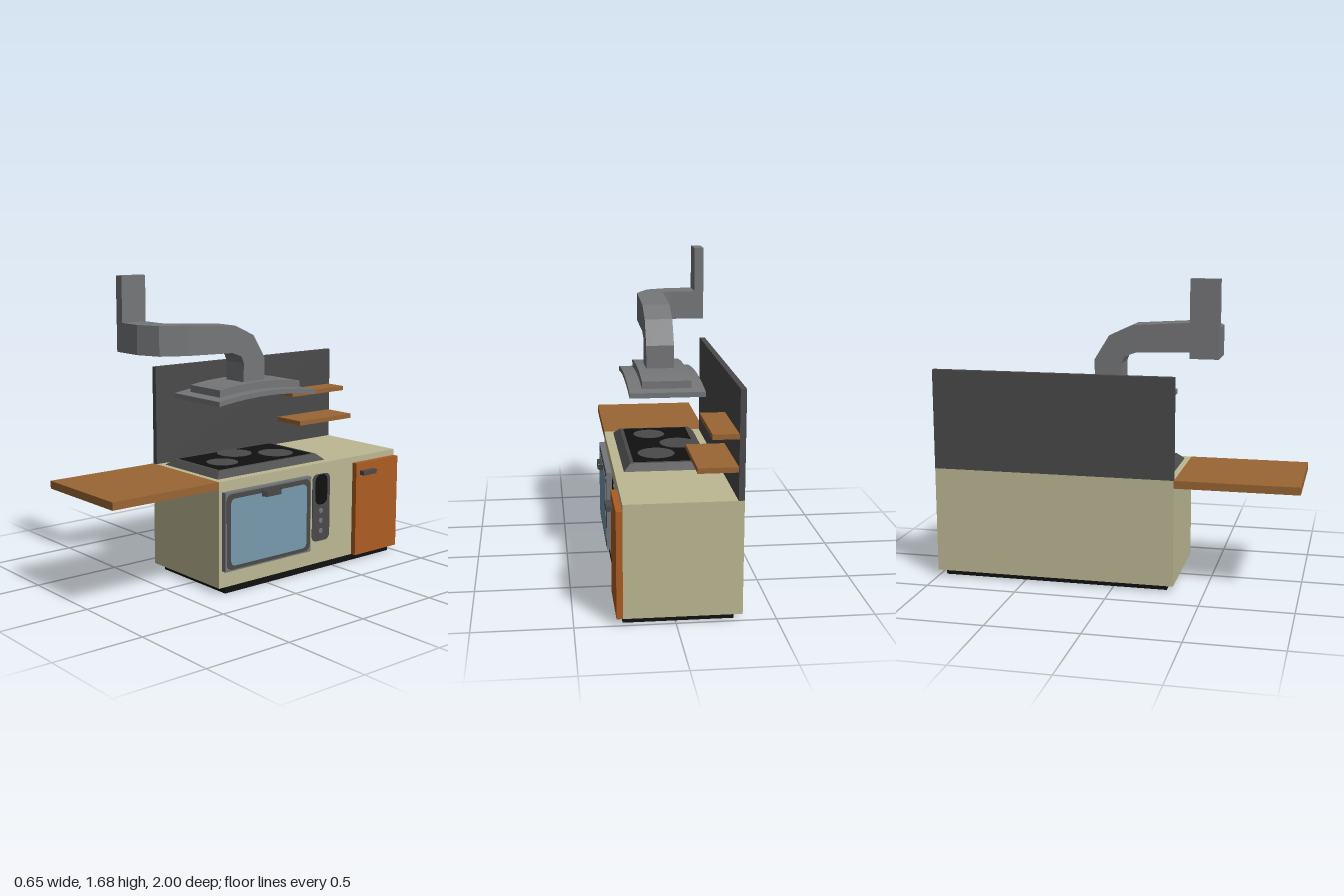
import * as THREE from 'three';

export function createModel() {
  const root = new THREE.Group();
  const mat = (name, color, extra = {}) => {
    const m = new THREE.MeshStandardMaterial({ color, ...extra });
    m.name = name;
    return m;
  };
  const cream = mat('cream', 0xbdb994);
  const wood = mat('wood', 0x9a6534);
  const orange = mat('orange', 0xad5c22);
  const grey = mat('grey', 0x757678);
  const dark = mat('darkGrey', 0x4a4a4b);
  const black = mat('black', 0x101010);
  const glass = mat('glassBlue', 0x789aae);
  dark.side = THREE.DoubleSide;

  const add = (name, geo, material, parent = root) => {
    const m = new THREE.Mesh(geo, material);
    m.name = name;
    parent.add(m);
    return m;
  };
  // Box from its lower and upper limits
  const box = (name, material, x0, x1, y0, y1, z0, z1) => {
    const m = add(name, new THREE.BoxGeometry(x1 - x0, y1 - y0, z1 - z0), material);
    m.position.set((x0 + x1) / 2, (y0 + y1) / 2, (z0 + z1) / 2);
    return m;
  };
  // Shape drawn in (-z, y) and extruded towards +x from x
  const sideExtrude = (name, material, shape, x, depth) => {
    const g = new THREE.ExtrudeGeometry(shape, { depth, bevelEnabled: false, curveSegments: 6 });
    g.rotateY(Math.PI / 2);
    const m = add(name, g, material);
    m.position.x = x;
    return m;
  };
  const roundRect = (z0, z1, y0, y1, r) => {
    const a = -z1, b = -z0, s = new THREE.Shape();
    s.absarc(b - r, y0 + r, r, -Math.PI / 2, 0);
    s.absarc(b - r, y1 - r, r, 0, Math.PI / 2);
    s.absarc(a + r, y1 - r, r, Math.PI / 2, Math.PI);
    s.absarc(a + r, y0 + r, r, Math.PI, Math.PI * 1.5);
    s.closePath();
    return s;
  };

  // Cabinet, plinth ring, worktop extension, splashback and shelves
  box('cabinet', cream, -0.33, 0.26, 0.035, 0.62, -1, 0.335);
  box('plinthFront', black, 0.235, 0.26, 0, 0.035, -0.965, 0.295);
  box('plinthBack', black, -0.29, -0.265, 0, 0.035, -0.965, 0.295);
  box('plinthEndA', black, -0.265, 0.235, 0, 0.035, 0.27, 0.295);
  box('plinthEndB', black, -0.265, 0.235, 0, 0.035, -0.965, -0.94);
  box('sideTable', wood, -0.33, 0.26, 0.578, 0.62, 0.335, 1);
  box('splashback', dark, -0.33, -0.3, 0.62, 1.17, -1, 0.335);
  box('upperShelf', wood, -0.3, -0.17, 0.925, 0.951, -0.995, -0.57);
  box('lowerShelf', wood, -0.3, -0.1, 0.76, 0.787, -0.995, -0.57);

  // Cupboard door
  box('cupboardDoor', orange, 0.26, 0.292, 0.035, 0.585, -1, -0.655);
  box('cupboardHandle', dark, 0.292, 0.325, 0.515, 0.54, -0.79, -0.685);

  // Oven door
  box('ovenDoor', grey, 0.26, 0.29, 0.128, 0.562, -0.3, 0.315);
  sideExtrude('ovenSeal', dark, roundRect(-0.293, 0.307, 0.136, 0.552, 0.035), 0.29, 0.002);
  sideExtrude('ovenGlass', glass, roundRect(-0.265, 0.28, 0.157, 0.525, 0.03), 0.292, 0.002);

  // Oven handle, a bent strip
  const strip = new THREE.PlaneGeometry(1, 0.03, 3, 1);
  const bend = [[0.29, 0.07], [0.322, 0.05], [0.322, -0.05], [0.29, -0.07]];
  for (let i = 0; i < strip.attributes.position.count; i++) {
    const [x, z] = bend[i % 4];
    strip.attributes.position.setX(i, x);
    strip.attributes.position.setZ(i, z);
  }
  const flatStrip = strip.toNonIndexed();
  flatStrip.computeVertexNormals();
  add('ovenHandle', flatStrip, dark).position.y = 0.522;

  // Control panel
  sideExtrude('controlPanel', dark, roundRect(-0.472, -0.337, 0.165, 0.557, 0.035), 0.26, 0.003);
  sideExtrude('controlDisplay', black, roundRect(-0.45, -0.36, 0.38, 0.553, 0.035), 0.263, 0.002);
  for (const y of [0.225, 0.285, 0.343]) {
    const g = new THREE.CylinderGeometry(0.015, 0.015, 0.003, 12);
    g.rotateZ(-Math.PI / 2);
    add('controlKnob', g, grey).position.set(0.2645, y, -0.402);
  }

  // Hob: bevelled frame, black top and cooking rings
  const hob = new THREE.BoxGeometry(0.47, 0.035, 0.78);
  const hp = hob.attributes.position;
  for (let i = 0; i < hp.count; i++) {
    if (hp.getY(i) > 0) {
      hp.setX(i, hp.getX(i) - Math.sign(hp.getX(i)) * 0.037);
      hp.setZ(i, hp.getZ(i) - Math.sign(hp.getZ(i)) * 0.037);
    }
  }
  const hobFlat = hob.toNonIndexed();
  hobFlat.computeVertexNormals();
  add('hobFrame', hobFlat, dark).position.set(-0.025, 0.6375, -0.087);
  box('hobTop', black, -0.205, 0.155, 0.654, 0.657, -0.42, 0.25);
  for (const [x, z, r] of [[0.02, 0.12, 0.088], [-0.12, -0.08, 0.1], [0.02, -0.27, 0.1]]) {
    add('cookingRing', new THREE.CylinderGeometry(r, r, 0.002, 24), dark).position.set(x, 0.658, z);
  }

  // Extractor hood: two arched slabs
  const arch = (name, half, yEnd, rise, thick, x0, x1) => {
    const s = new THREE.Shape(), n = 10, mid = 0.085;
    const pt = (t, dy) => [mid + t * half, yEnd + rise * (1 - t * t) + dy];
    s.moveTo(...pt(-1, 0));
    for (let i = 1; i <= n; i++) s.lineTo(...pt(-1 + 2 * i / n, 0));
    for (let i = n; i >= 0; i--) s.lineTo(...pt(-1 + 2 * i / n, thick));
    s.closePath();
    sideExtrude(name, grey, s, x0, x1 - x0);
  };
  arch('hoodCanopy', 0.348, 1.0, 0.028, 0.027, -0.222, 0.175);
  arch('hoodCap', 0.288, 1.033, 0.022, 0.042, -0.155, 0.105);

  // Duct: rectangular sections, first rising then turning to the wall.
  // Corners run inner-left, inner-right, outer-right, outer-left.
  const xl = -0.09, xr = 0.06, yb = 1.27, yt = 1.43;
  const sections = [];
  const rise = [ // inner z, y, outer z, y
    [0, 1.08, -0.15, 1.08], [0, 1.2, -0.15, 1.22], [0.015, 1.238, -0.07, 1.35],
    [0.08, 1.262, 0.06, 1.41], [0.38, yb, 0.38, yt]];
  for (const [zi, yi, zo, yo] of rise) {
    sections.push([[xl, yi, zi], [xr, yi, zi], [xr, yo, zo], [xl, yo, zo]]);
  }
  const turn = [ // inner x, z, outer x, z
    [-0.1, 0.402, -0.01, 0.515], [-0.14, 0.412, -0.14, 0.565], [-0.33, 0.412, -0.33, 0.565]];
  for (const [xi, zi, xo, zo] of turn) {
    sections.push([[xi, yb, zi], [xo, yb, zo], [xo, yt, zo], [xi, yt, zi]]);
  }
  const pos = [];
  const quad = (a, b, c, d) => pos.push(...a, ...b, ...c, ...a, ...c, ...d);
  for (let i = 0; i + 1 < sections.length; i++) {
    const s = sections[i], t = sections[i + 1];
    for (let k = 0; k < 4; k++) {
      const j = (k + 1) % 4;
      quad(s[k], s[j], t[j], t[k]);
    }
  }
  const first = sections[0], last = sections[sections.length - 1];
  quad(first[3], first[2], first[1], first[0]);
  quad(...last);
  const duct = new THREE.BufferGeometry();
  duct.setAttribute('position', new THREE.Float32BufferAttribute(pos, 3));
  duct.computeVertexNormals();
  add('duct', duct, grey);
  box('ductRiser', grey, -0.33, -0.277, yt, 1.68, 0.412, 0.565);

  return root;
}
